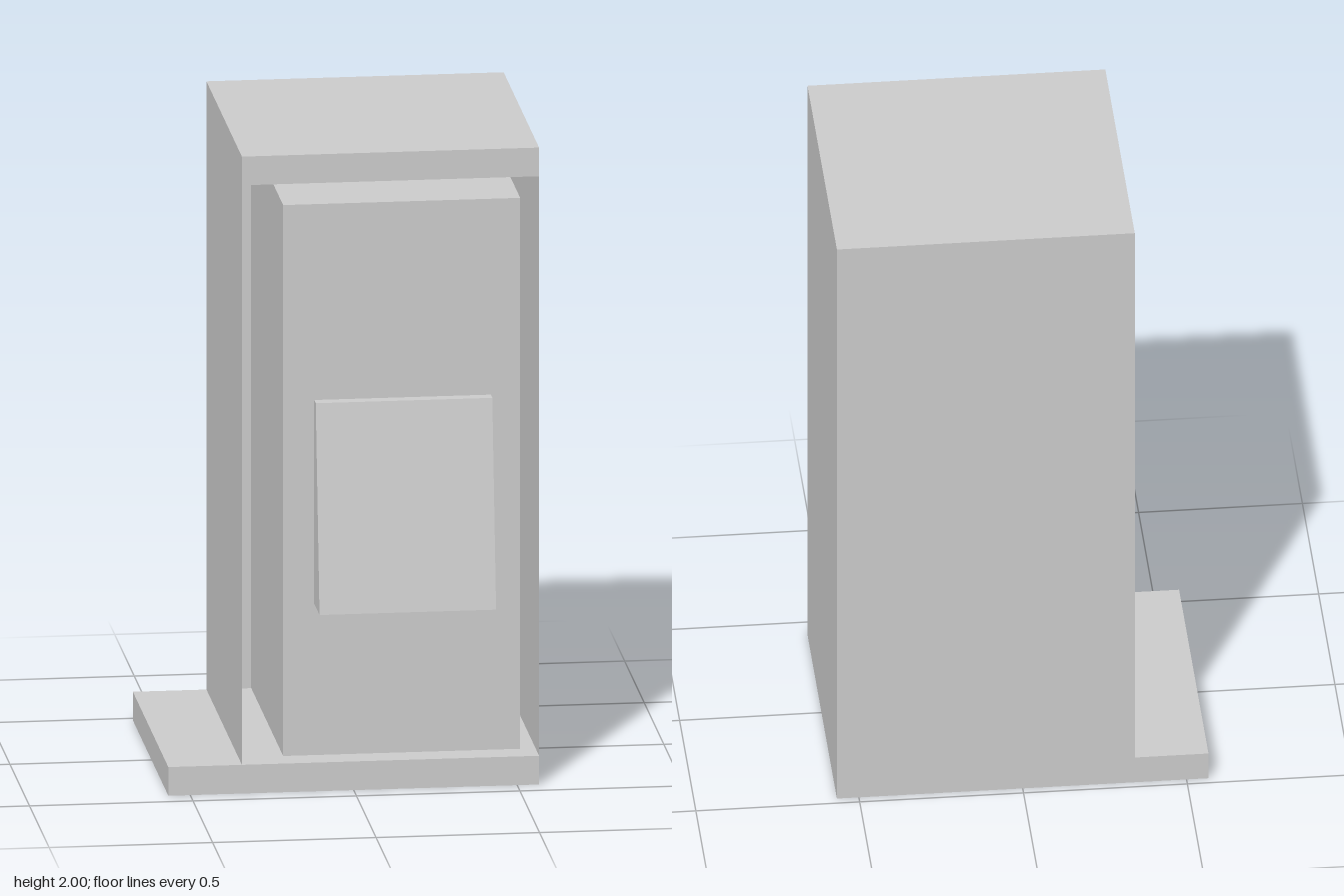
import * as THREE from 'three';

const material = new THREE.MeshStandardMaterial({ color: 0xcccccc, flatShading: true, side: THREE.DoubleSide });
const FACES = ['right', 'left', 'top', 'bottom', 'front', 'back']; // +x -x +y -y +z -z

// Thin-walled box between two corners, leaving out the listed faces
function shell(name, [x0, y0, z0], [x1, y1, z1], open = []) {
  const geo = new THREE.BoxGeometry(x1 - x0, y1 - y0, z1 - z0);
  geo.translate((x0 + x1) / 2, (y0 + y1) / 2, (z0 + z1) / 2);
  const index = Array.from(geo.index.array);
  geo.setIndex(index.filter((_, i) => !open.includes(FACES[Math.floor(i / 6)])));
  const mesh = new THREE.Mesh(geo, material);
  mesh.name = name;
  return mesh;
}

export function createModel() {
  const group = new THREE.Group();
  group.name = 'cabinet';

  const side = 0.567, inner = -0.342; // outer side and recessed side of the body
  const front = 0.43, back = -0.475;
  const baseTop = 0.09, roofBottom = 1.91;
  const panelFront = 0.34;

  // Hollow base with a ledge on one side
  group.add(shell('base', [-side, 0, back], [side, baseTop, front], ['bottom']));

  // Side and back walls, open at the front
  group.add(shell('walls', [inner, baseTop, back], [side, roofBottom, front], ['top', 'bottom', 'front']));

  // Roof slab
  group.add(shell('roof', [inner, roofBottom, back], [side, 2, front]));

  // Inner column, set back from the front edge
  group.add(shell('innerColumn', [-0.205, baseTop, back], [0.52, 1.82, panelFront], ['bottom', 'back']));

  // Sloping tray on the column: profile in (z, y), extruded across x
  const x0 = -0.11, x1 = 0.43;
  const profile = new THREE.Shape([
    [panelFront, 0.565], [0.475, 0.565], [0.379, 1.205], [panelFront, 1.205],
  ].map(([z, y]) => new THREE.Vector2(-z, y)));
  const trayGeo = new THREE.ExtrudeGeometry(profile, { depth: x1 - x0, bevelEnabled: false });
  trayGeo.rotateY(Math.PI / 2).translate(x0, 0, 0);
  const tray = new THREE.Mesh(trayGeo, material);
  tray.name = 'slopedTray';
  group.add(tray);

  return group;
}
